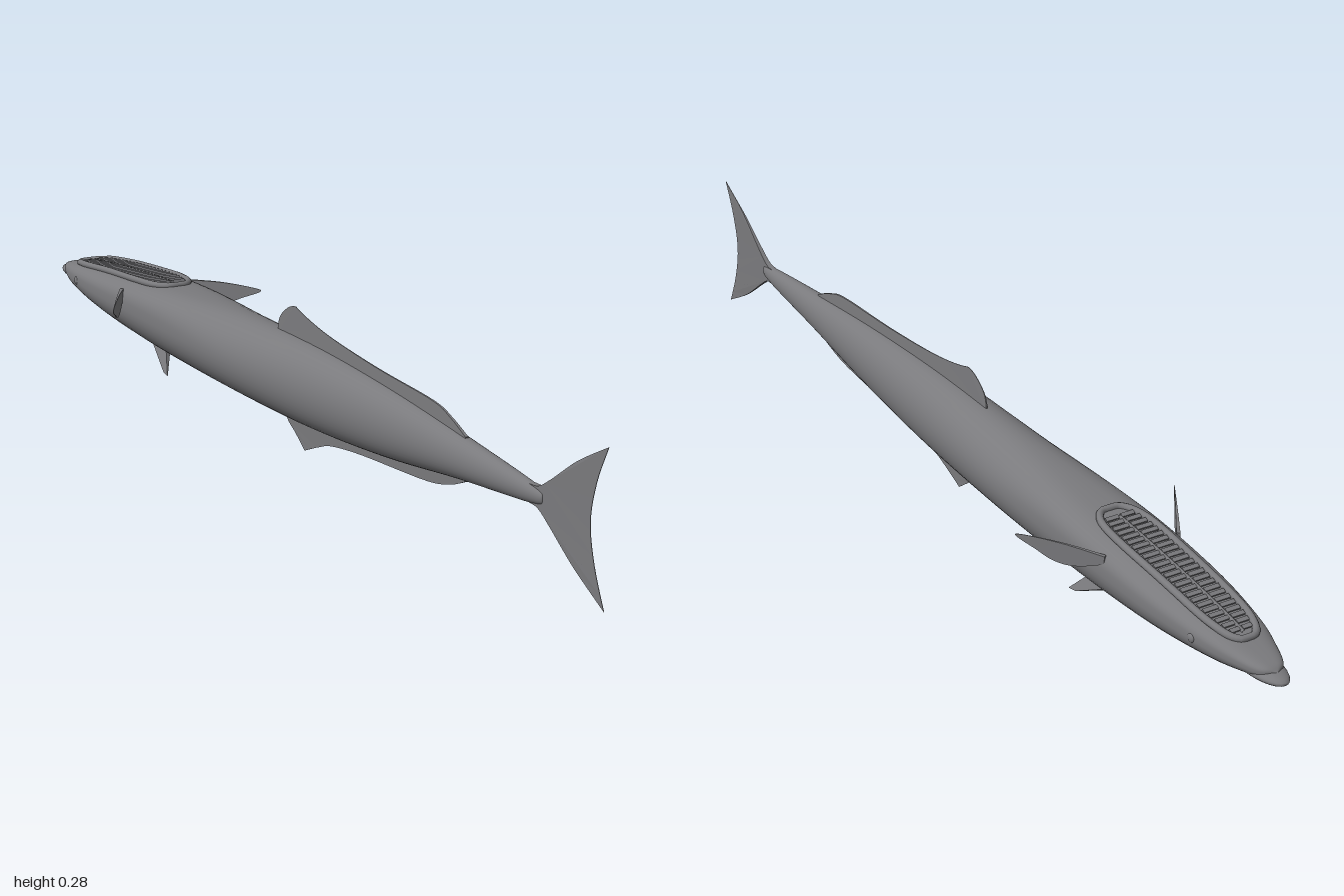
import * as THREE from 'three';

const skin = new THREE.MeshStandardMaterial({ color: 0x7a7a7d });
skin.name = 'grey skin';

// Body stations from snout to tail root: z, half width, top, bottom, height of widest line
const stations = [
  [-0.975, 0.003, 0.150, 0.142, 0.146],
  [-0.96, 0.024, 0.158, 0.133, 0.146],
  [-0.92, 0.041, 0.166, 0.124, 0.147],
  [-0.85, 0.060, 0.179, 0.112, 0.149],
  [-0.72, 0.077, 0.194, 0.095, 0.151],
  [-0.56, 0.083, 0.206, 0.080, 0.152],
  [-0.38, 0.081, 0.214, 0.070, 0.148],
  [-0.15, 0.073, 0.219, 0.063, 0.143],
  [0.10, 0.060, 0.218, 0.063, 0.141],
  [0.35, 0.044, 0.204, 0.078, 0.141],
  [0.58, 0.028, 0.182, 0.104, 0.142],
  [0.80, 0.012, 0.158, 0.125, 0.142],
  [0.83, 0.001, 0.145, 0.139, 0.142],
];
const curve = (ids) => new THREE.CatmullRomCurve3(
  stations.map((s) => new THREE.Vector3(...ids.map((i) => s[i]))), false, 'catmullrom');

// Height of the back above a given z
function topAt(z) {
  const i = Math.max(1, stations.findIndex((s) => s[0] >= z));
  const [a, b] = [stations[i - 1], stations[i]];
  return THREE.MathUtils.lerp(a[2], b[2], (z - a[0]) / (b[0] - a[0]));
}

function mesh(name, geometry, parent) {
  const m = new THREE.Mesh(geometry, skin);
  m.name = name;
  parent.add(m);
  return m;
}

// Loft with a round belly and a flattened crown at the head
function bodyGeometry() {
  const upper = curve([0, 1, 2]), lower = curve([0, 3, 4]);
  const rows = 72, sides = 40, pos = [], index = [];
  for (let i = 0; i <= rows; i++) {
    const a = upper.getPoint(i / rows), b = lower.getPoint(i / rows);
    const crown = 3 - THREE.MathUtils.smoothstep(a.x, -0.55, -0.15);
    for (let j = 0; j < sides; j++) {
      const t = (j / sides) * Math.PI * 2, c = Math.cos(t), s = Math.sin(t);
      const p = 2 / (s > 0 ? crown : 2);
      const x = a.y * Math.sign(c) * Math.abs(c) ** p;
      const h = Math.abs(s) ** p;
      pos.push(x, s > 0 ? b.z + (a.z - b.z) * h : b.z - (b.z - b.y) * h, a.x);
      if (i < rows) {
        const k = (j + 1) % sides, n = i * sides, m = n + sides;
        index.push(n + j, n + k, m + k, n + j, m + k, m + j);
      }
    }
  }
  const g = new THREE.BufferGeometry();
  g.setAttribute('position', new THREE.Float32BufferAttribute(pos, 3));
  g.setIndex(index);
  g.computeVertexNormals();
  return g;
}

// Thin upright fin in the z-y plane; thickness is a rule of (z, y)
function finGeometry(edges, thickness) {
  const outline = edges.flatMap((e) => {
    const pts = e.map((p) => new THREE.Vector2(...p));
    return pts.length < 3 ? pts : new THREE.SplineCurve(pts).getPoints(pts.length * 4);
  }).filter((p, i, all) => i === 0 || p.distanceTo(all[i - 1]) > 1e-5);
  const g = new THREE.ExtrudeGeometry(new THREE.Shape(outline), { depth: 1, bevelEnabled: false });
  const p = g.attributes.position;
  for (let i = 0; i < p.count; i++) {
    const z = p.getX(i), y = p.getY(i);
    p.setXYZ(i, (0.5 - p.getZ(i)) * Math.max(0.001, thickness(z, y)), y, z);
  }
  g.computeVertexNormals();
  return g;
}

export function createModel() {
  const fish = new THREE.Group();
  fish.name = 'suckerFish';
  mesh('body', bodyGeometry(), fish);

  // Protruding lower jaw
  const jaw = mesh('lowerJaw', new THREE.SphereGeometry(1, 28, 16), fish);
  jaw.scale.set(0.032, 0.014, 0.08);
  jaw.position.set(0, 0.139, -0.92);

  // Unpaired fins
  const midTaper = (z, y) => 0.009 * (1 - Math.abs(y - 0.14) / 0.13);
  mesh('dorsalFin', finGeometry([
    [[-0.06, 0.20], [-0.065, 0.222], [-0.055, 0.248], [-0.025, 0.270], [0, 0.277]],
    [[0, 0.277], [0.05, 0.263], [0.14, 0.247], [0.30, 0.231], [0.48, 0.220], [0.54, 0.205], [0.59, 0.183]],
    [[0.59, 0.17], [0.3, 0.19]],
  ], midTaper), fish);
  mesh('analFin', finGeometry([
    [[-0.03, 0.08], [-0.03, 0.052], [0, 0.030], [0.035, 0.004]],
    [[0.035, 0.004], [0.09, 0.026], [0.14, 0.041], [0.25, 0.054], [0.46, 0.068], [0.54, 0.083], [0.59, 0.102]],
    [[0.59, 0.115], [0.3, 0.09]],
  ], midTaper), fish);
  mesh('tailFin', finGeometry([
    [[0.79, 0.158], [0.815, 0.161], [0.85, 0.183], [0.92, 0.234], [1, 0.278]],
    [[1, 0.278], [0.97, 0.21], [0.956, 0.14], [0.97, 0.07], [1, 0]],
    [[1, 0], [0.92, 0.045], [0.85, 0.097], [0.815, 0.121], [0.79, 0.125]],
  ], (z) => 0.012 * (1 - (z - 0.79) / 0.17)), fish);

  // Paired fins and eyes
  const pectoral = finGeometry([[
    [0, 0.190], [0.08, 0.194], [0.155, 0.191], [0.17, 0.185], [0.13, 0.168],
    [0.10, 0.156], [0.066, 0.154], [0.03, 0.163], [0, 0.175],
  ]], (z) => 0.007 * (1 - z / 0.17));
  const pelvic = finGeometry([[[-0.03, 0.008], [0.03, 0.008]], [[0.07, -0.039], [0.05, -0.036]]],
    (z, y) => 0.009 * (1 + y / 0.04));
  for (const side of [1, -1]) {
    const label = side > 0 ? 'left' : 'right';
    const fin = mesh(label + 'PectoralFin', pectoral, fish);
    fin.position.set(side * 0.076, 0, -0.58);
    fin.rotation.y = side * 0.56;
    const belly = mesh(label + 'PelvicFin', pelvic, fish);
    belly.position.set(side * 0.032, 0.074, -0.5);
    belly.rotation.z = side * 0.5;
    const eye = mesh(label + 'Eye', new THREE.SphereGeometry(0.009, 16, 10), fish);
    eye.position.set(side * 0.063, 0.152, -0.82);
    eye.scale.x = 0.5;
  }

  // Suction disc: raised rim, paired slats and a middle ridge
  const disc = new THREE.Group();
  disc.name = 'suctionDisc';
  fish.add(disc);
  const halfWidth = (z) => {
    const u = (z + 0.685) / 0.21;
    return 0.043 * Math.max(0, 1 - Math.abs(u) ** 5) ** 0.4 * (1 + 0.08 * u);
  };
  const rimPoints = [];
  for (let i = 0; i < 64; i++) {
    const t = (i / 64) * Math.PI * 2, c = Math.cos(t);
    const z = -0.685 + 0.208 * Math.sign(c) * Math.abs(c) ** 0.5;
    rimPoints.push(new THREE.Vector3(Math.sign(Math.sin(t)) * halfWidth(z), topAt(z) + 0.001, z));
  }
  mesh('discRim', new THREE.TubeGeometry(new THREE.CatmullRomCurve3(rimPoints, true), 128, 0.007, 10, true), disc);
  const pitch = Math.atan2(topAt(-0.5) - topAt(-0.88), 0.38);
  for (let i = 0; i < 24; i++) {
    const z = -0.87 + i * 0.0157;
    const w = Math.max(0.008, halfWidth(z) - 0.011);
    for (const side of [1, -1]) {
      const slat = mesh('discSlat', new THREE.BoxGeometry(w, 0.008, 0.008), disc);
      slat.position.set(side * (0.003 + w / 2), topAt(z) + 0.001, z);
      slat.rotation.set(-pitch - 0.35, 0, 0);
    }
  }
  const ridgePath = new THREE.CatmullRomCurve3([-0.88, -0.8, -0.7, -0.6, -0.51]
    .map((z) => new THREE.Vector3(0, topAt(z) + 0.002, z)));
  mesh('discRidge', new THREE.TubeGeometry(ridgePath, 24, 0.0035, 8), disc);
  return fish;
}
